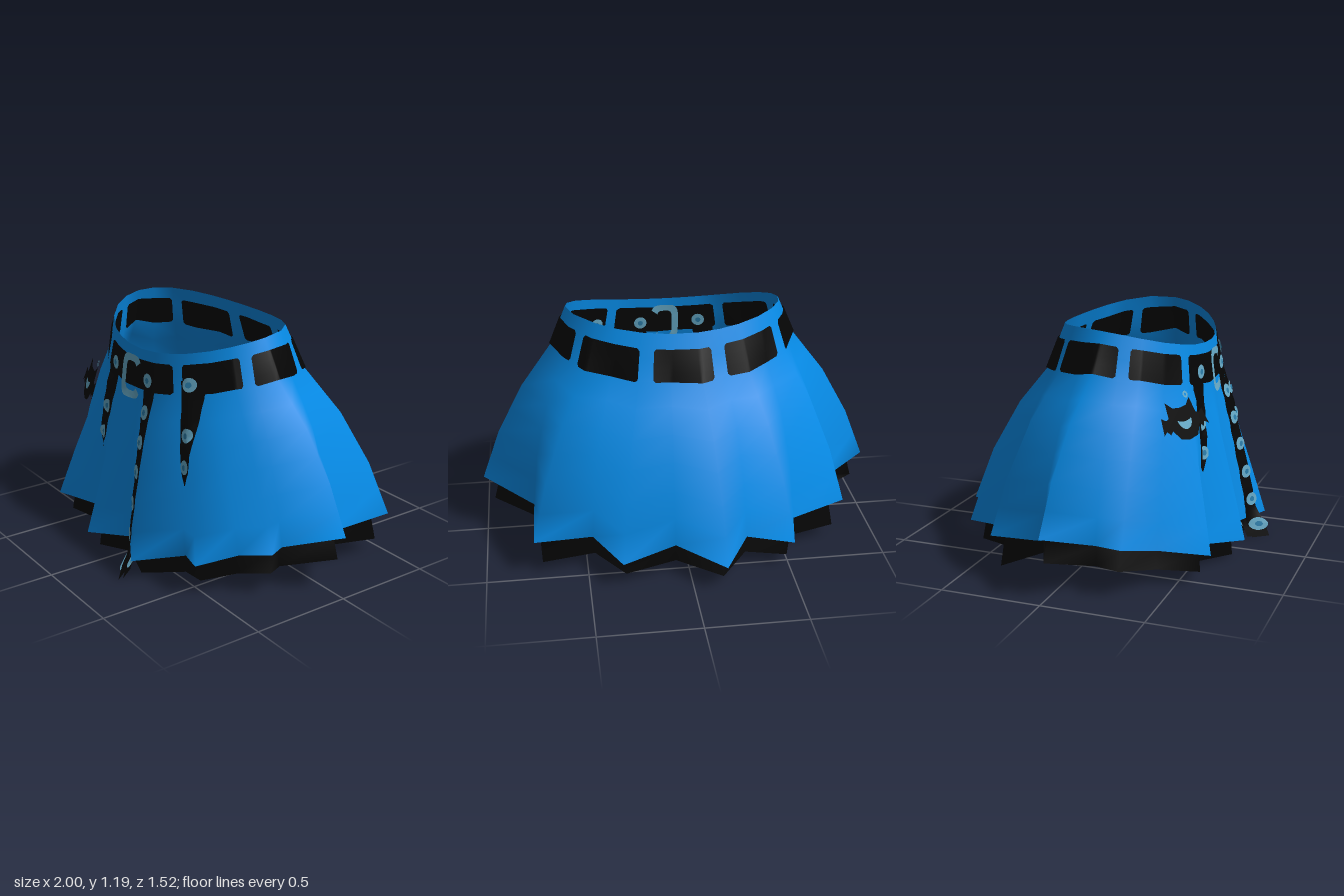
import * as THREE from 'three';

const mat = (name, color) => Object.assign(
  new THREE.MeshStandardMaterial({ color, side: THREE.DoubleSide }), { name });
const lerp = THREE.MathUtils.lerp, DEG = Math.PI / 180;

// Surface sampled from fn(u, v) with u, v in 0..1
function grid(nu, nv, fn, closed = false) {
  const pos = [], idx = [], w = closed ? nu : nu + 1;
  for (let j = 0; j <= nv; j++)
    for (let i = 0; i < w; i++) pos.push(...fn(i / nu, j / nv));
  for (let j = 0; j < nv; j++)
    for (let i = 0; i < nu; i++) {
      const a = j * w + i, b = j * w + (i + 1) % w;
      idx.push(a, a + w, b, b, a + w, b + w);
    }
  const g = new THREE.BufferGeometry();
  g.setAttribute('position', new THREE.Float32BufferAttribute(pos, 3));
  g.setIndex(idx);
  g.computeVertexNormals();
  return g;
}

// Hem corners [x, z]: valley, pleat tip, valley, ... from the front towards +x
const HEM = [
  [.03, .57], [.29, .72], [.43, .5], [.61, .57], [.66, .36], [.84, .3], [.76, .18],
  [1, 0], [.75, -.13], [.76, -.5], [.47, -.41], [.34, -.67], [.07, -.53], [-.15, -.76],
  [-.29, -.5], [-.51, -.6], [-.55, -.38], [-.82, -.33], [-.75, -.1], [-1, 0],
  [-.75, .17], [-.86, .34], [-.6, .42], [-.53, .66], [-.33, .53], [-.13, .72]];
const N = HEM.length;

// Waist angle of each column: tips follow the hem, valleys sit halfway
const tipAngle = i => (Math.atan2(HEM[i][0], HEM[i][1] * 1.37) / DEG + 360) % 360;
const PHI = HEM.map((_, i) => i % 2 ? tipAngle(i)
  : i === 0 ? (tipAngle(1) + tipAngle(N - 1) - 360) / 2
    : (tipAngle(i - 1) + tipAngle(i + 1)) / 2);

const T = [0, .22, .45, .72, 1];
const FLARE_SIDE = [0, .18, .52, .8, 1], FLARE_FRONT = [0, .12, .4, .7, 1];
function column(i, t) {
  const c = Math.cos(PHI[i] * DEG), s = Math.sin(PHI[i] * DEG), [hx, hz] = HEM[i];
  let k = 0;
  while (k < 3 && t > T[k + 1]) k++;
  const r = (t - T[k]) / (T[k + 1] - T[k]);
  const f = lerp(lerp(FLARE_SIDE[k], FLARE_SIDE[k + 1], r),
    lerp(FLARE_FRONT[k], FLARE_FRONT[k + 1], r), Math.max(0, c));
  const waistY = 1.185 - .04 * c - .075 * c * c;
  const hemY = hz > 0 ? .1 + .22 * hx * hx : .16 + .16 * hx ** 4;
  const fill = i % 2 ? 1 : 1 + .12 * (1 - t);   // valleys are shallower higher up
  return [lerp(.54 * s, hx * fill, f), lerp(waistY, hemY, t), lerp(.13 + .35 * c, hz * fill, f)];
}
// Point on the skirt at a waist angle in degrees
function skirtPoint(deg, t) {
  const d = PHI[0] + (((deg - PHI[0]) % 360) + 360) % 360;
  let i = 0;
  while (i < N - 1 && PHI[i + 1] <= d) i++;
  const next = i < N - 1 ? PHI[i + 1] : PHI[0] + 360;
  const a = column(i, t), b = column((i + 1) % N, t), r = (d - PHI[i]) / (next - PHI[i]);
  return a.map((v, k) => lerp(v, b[k], r));
}

export function createModel() {
  const blue = mat('blueCloth', 0x078fed), black = mat('blackCloth', 0x050505);
  const metal = mat('paleMetal', 0x66a9c6), hole = mat('eyeletBlue', 0x2b7ca8);
  const root = new THREE.Group();
  const add = (name, geo, m, parent = root) => {
    const mesh = new THREE.Mesh(geo, m);
    mesh.name = name;
    parent.add(mesh);
    return mesh;
  };
  const group = name => {
    const g = new THREE.Group();
    g.name = name;
    root.add(g);
    return g;
  };

  // Pleated skirt
  const rows = [0, .11, .22, .33, .45, .58, .72, .86, 1];
  const skirt = add('skirt', grid(N, 8, (u, v) =>
    column(Math.round(u * N), rows[Math.round(v * 8)]), true), blue);
  skirt.updateMatrixWorld();

  // Underskirt wall and its bottom panel with two leg openings
  const underHem = i => {
    const x = HEM[i][0] * (i % 2 ? .95 : .98), z = HEM[i][1] * (i % 2 ? .91 : .99);
    return [x, z > 0 ? .015 + .19 * x * x : .07 + .12 * Math.max(0, 1 + z / .28), z];
  };
  add('underskirt', grid(N, 3, (u, v) => {
    const i = Math.round(u * N), [x, y, z] = column(i, .82), h = underHem(i);
    return [lerp(x * .93, h[0], v), lerp(y, h[1], v), lerp(z * .93, h[2], v)];
  }, true), black);
  const panel = new THREE.Shape(HEM.map((_, i) => {
    const h = underHem(i);
    return new THREE.Vector2(h[0], h[2]);
  }));
  for (const s of [-1, 1])
    panel.holes.push(new THREE.Path().absellipse(s * .385, .05, .33, .32, 0, Math.PI * 2));
  const panelGeo = new THREE.ShapeGeometry(panel, 16), pp = panelGeo.attributes.position;
  for (let i = 0; i < pp.count; i++) {
    const x = pp.getX(i), z = pp.getY(i);
    const rim = HEM.findIndex((_, k) => Math.hypot(underHem(k)[0] - x, underHem(k)[2] - z) < 1e-4);
    pp.setXYZ(i, x, rim >= 0 ? underHem(rim)[1] : .25 - .3 * Math.max(0, z - .1), z);
  }
  panelGeo.computeVertexNormals();
  add('underPanel', panelGeo, black);

  // Belt pieces with rounded corners between the loops, outside and inside
  const belt = group('belt');
  const pieces = [[-28, 28], [34, 69], [77, 118], [125, 159], [166, 194],
    [201, 235], [242, 283], [291, 326]];
  for (const [a, b] of pieces)
    for (const off of [.008, -.008])
      add('beltPiece', grid(28, 3, (u, v) => {
        const d = lerp(a, b, u), c = Math.cos(d * DEG);
        const trim = u === 0 || u === 1 ? .012 : 0;
        const p = skirtPoint(d, lerp(.06 - .01 * c + trim, .21 - .012 * c - trim, v));
        const nx = p[0] / .29, nz = (p[2] - .13) / .12, l = Math.hypot(nx, nz);
        return [p[0] + nx / l * off, p[1], p[2] + nz / l * off];
      }), black, belt);

  // Lay flat front details onto the cloth; below the hem they hang free and twist
  const ray = new THREE.Raycaster(), dir = new THREE.Vector3(0, 0, -1);
  const frontZ = (x, y) => {
    ray.set(new THREE.Vector3(x, Math.max(y, .16), 2), dir);
    const hit = ray.intersectObject(skirt)[0], drop = Math.max(0, .16 - y);
    return (hit ? hit.point.z : .49) + drop * .3 + (x - .2) * .7 * Math.min(1, drop * 12);
  };
  function decal(name, geo, m, off, parent) {
    for (const s of [1, -1]) {
      const g = geo.clone(), p = g.attributes.position;
      for (let i = 0; i < p.count; i++)
        p.setZ(i, frontZ(p.getX(i), p.getY(i)) + s * off);
      g.computeVertexNormals();
      add(name, g, m, parent);
    }
  }
  const rivet = (x, y, parent) => {
    decal('rivet', new THREE.CircleGeometry(.034, 16).translate(x, y, 0), metal, .02, parent);
    decal('rivetEye', new THREE.CircleGeometry(.014, 10).translate(x, y, 0), hole, .024, parent);
  };

  // Hanging straps: top, bottom, widths, pointed tip, rivets
  function strap(name, [x0, y0], [x1, y1], w0, w1, tip, rivets) {
    const g = group(name);
    decal('strapBand', grid(6, 40, (u, v) => {
      const w = lerp(w0, w1, v) * (tip ? Math.min(1, (1 - v) * 6 + .1) : 1);
      return [lerp(x0, x1, v) + (u - .5) * w, lerp(y0, y1, v), 0];
    }), black, .013, g);
    for (const [x, y] of rivets) rivet(x, y, g);
  }
  strap('longStrap', [.135, .92], [.203, .005], .085, .06, false,
    [[.13, .94], [.143, .79], [.156, .65], [.17, .51], [.182, .36], [.195, .21], [.202, .075]]);
  strap('rightStrap', [-.195, .98], [-.265, .48], .12, .055, true,
    [[-.18, .95], [-.235, .71], [-.252, .57]]);
  strap('leftStrap', [.375, .98], [.44, .51], .11, .065, true,
    [[.37, .97], [.415, .745], [.435, .6]]);

  // Rounded buckle frame, open towards one side
  const buckle = group('buckle');
  const round = v => Math.sign(v) * Math.abs(v) ** .5;
  decal('buckleFrame', grid(40, 2, (u, v) => {
    const a = lerp(32, 328, u) * DEG, inset = v * .034;
    return [round(Math.cos(a)) * (.075 - inset), .933 + round(Math.sin(a)) * (.107 - inset), 0];
  }), metal, .024, buckle);

  // Bat charm: flat plates on a plane leaning along the cloth
  const bat = group('batCharm'), batZ = frontZ(-.45, .77) + .08;
  const plate = (name, geo, m, off) => {
    const p = geo.attributes.position;
    for (let i = 0; i < p.count; i++)
      p.setZ(i, batZ + off + .4 * (p.getX(i) + .45) - .4 * (p.getY(i) - .77));
    geo.computeVertexNormals();
    add(name, geo, m, bat);
  };
  const half = [[0, .835], [.045, .84], [.08, .87], [.09, .8], [.11, .795], [.135, .81],
    [.15, .735], [.125, .75], [.11, .73], [.09, .745], [.055, .7], [0, .69]];
  const outline = [...half, ...half.slice(1, -1).reverse().map(([x, y]) => [-x, y])]
    .map(([x, y]) => new THREE.Vector2(x - .45, y));
  plate('batBody', new THREE.ShapeGeometry(new THREE.Shape(outline)), black, 0);
  const smile = new THREE.Shape();
  smile.absarc(-.455, .785, .045, Math.PI, Math.PI * 2, false);
  smile.quadraticCurveTo(-.455, .765, -.5, .785);
  plate('batSmile', new THREE.ShapeGeometry(smile, 8), metal, .008);
  plate('batRing', new THREE.RingGeometry(.007, .016, 10).translate(-.385, .885, 0), metal, 0);
  return root;
}
